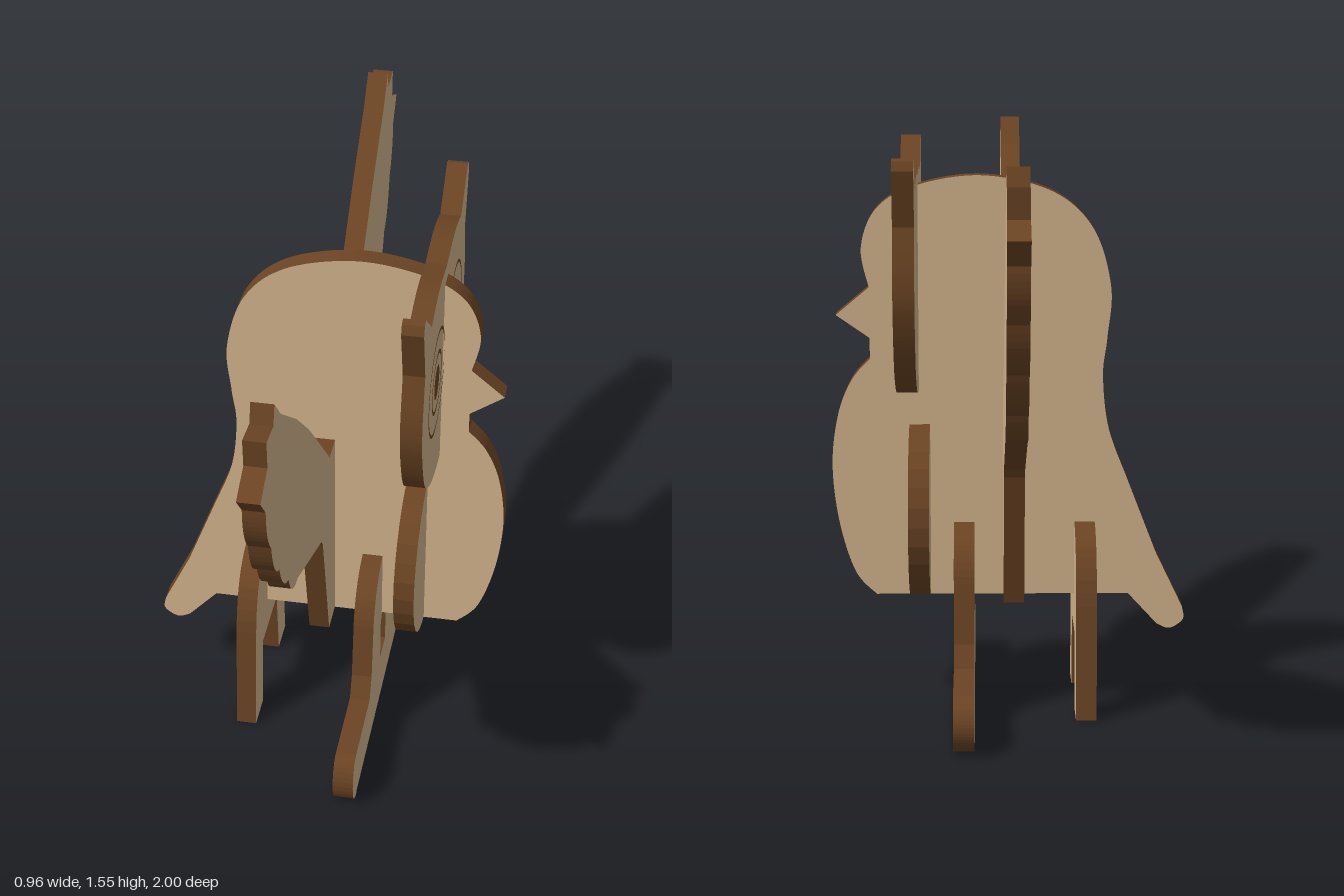
import * as THREE from 'three';

const faceWood = new THREE.MeshStandardMaterial({ color: 0xd2b48c });
faceWood.name = 'tan wood face';
const edgeWood = new THREE.MeshStandardMaterial({ color: 0x6b4423 });
edgeWood.name = 'dark brown edge';

const T = 0.056; // plate thickness
const V = (list) => list.map(([x, y]) => new THREE.Vector2(x, y));

// flat plate with tan faces and brown cut edges
function plate(name, shape) {
  const geo = new THREE.ExtrudeGeometry(shape, { depth: T, bevelEnabled: false, curveSegments: 14 });
  const mesh = new THREE.Mesh(geo, [faceWood, edgeWood]);
  mesh.name = name;
  return mesh;
}

// plate standing across the body, its back face at x
function crossPlate(name, shape, x) {
  const mesh = plate(name, shape);
  mesh.geometry.rotateY(Math.PI / 2);
  mesh.position.x = x;
  return mesh;
}

// closed shape from a half outline that starts and ends on the centre line
function mirrored(half) {
  const pts = half.getPoints(10);
  const other = pts.slice(1, -1).reverse().map((p) => new THREE.Vector2(-p.x, p.y));
  return new THREE.Shape([...pts, ...other]);
}

function bodyShape() {
  const s = new THREE.Shape();
  s.moveTo(-0.33, 0.305);
  s.lineTo(0.363, 0.305);
  s.splineThru(V([[0.42, 0.37], [0.463, 0.51], [0.48, 0.67], [0.463, 0.81], [0.425, 0.905], [0.375, 0.963]])); // chest
  s.lineTo(0.375, 1.02);
  s.lineTo(0.466, 1.083); // beak
  s.lineTo(0.376, 1.158);
  s.splineThru(V([[0.396, 1.265], [0.355, 1.37], [0.25, 1.432], [0.07, 1.459], [-0.117, 1.417], [-0.228, 1.318],
    [-0.277, 1.16], [-0.268, 1.02], [-0.257, 0.916], [-0.273, 0.772], [-0.322, 0.637]])); // crown and back
  s.lineTo(-0.405, 0.423);
  s.lineTo(-0.48, 0.267);
  s.splineThru(V([[-0.483, 0.23], [-0.446, 0.205], [-0.41, 0.218]])); // tail tip
  s.closePath();
  return s;
}

function wingShape() {
  const p = new THREE.Path();
  p.moveTo(0, 0.305);
  p.lineTo(0.12, 0.305);
  p.lineTo(0.215, 0.675);
  p.lineTo(0.235, 0.70);
  p.lineTo(0.57, 0.845);
  // scalloped feathers
  p.quadraticCurveTo(0.655, 0.845, 0.69, 0.935);
  p.quadraticCurveTo(0.765, 0.96, 0.80, 1.055);
  p.quadraticCurveTo(0.865, 1.08, 0.89, 1.19);
  p.quadraticCurveTo(0.945, 1.25, 0.943, 1.335);
  // pointed tips
  for (const [x, y] of [[1, 1.40], [0.914, 1.44], [0.92, 1.515], [0.84, 1.505], [0.824, 1.555]]) p.lineTo(x, y);
  p.lineTo(0.754, 1.48);
  p.lineTo(0.567, 1.335);
  p.lineTo(0.40, 1.185);
  p.lineTo(0.11, 0.89);
  p.lineTo(0, 0.89);
  return mirrored(p);
}

function headShape() {
  const p = new THREE.Path();
  p.moveTo(0, 0.875);
  p.splineThru(V([[0.11, 0.885], [0.22, 0.917], [0.326, 0.992], [0.388, 1.12], [0.40, 1.227], [0.374, 1.36]]));
  p.lineTo(0.417, 1.505); // ear
  p.lineTo(0.408, 1.53);
  p.lineTo(0.388, 1.535);
  p.lineTo(0.273, 1.442);
  p.splineThru(V([[0.2, 1.462], [0.11, 1.468], [0, 1.457]]));
  return mirrored(p);
}

function bellyShape() {
  const s = new THREE.Shape();
  s.absellipse(0, 0.545, 0.253, 0.24, 0, Math.PI * 2);
  return s;
}

function frontLegShape() {
  const s = new THREE.Shape();
  s.moveTo(-0.45, 0.005);
  s.lineTo(0.455, 0);
  s.absarc(0.455, 0.075, 0.075, -Math.PI / 2, Math.PI / 2); // rounded perch end
  s.lineTo(0.23, 0.15);
  s.lineTo(0.2, 0.21);
  s.lineTo(0.18, 0.35);
  s.bezierCurveTo(0.17, 0.45, 0.1, 0.51, 0, 0.51);
  s.bezierCurveTo(-0.1, 0.51, -0.17, 0.45, -0.18, 0.35);
  s.lineTo(-0.2, 0.21);
  s.lineTo(-0.23, 0.15);
  s.lineTo(-0.455, 0.15);
  s.bezierCurveTo(-0.53, 0.15, -0.53, 0, -0.45, 0);
  // gap between the legs
  const gap = new THREE.Path();
  gap.moveTo(-0.045, 0.15);
  gap.lineTo(-0.045, 0.26);
  gap.absarc(0, 0.26, 0.045, Math.PI, 0, true);
  gap.lineTo(0.045, 0.15);
  gap.closePath();
  s.holes.push(gap);
  return s;
}

function backLegShape() {
  const p = new THREE.Path();
  p.moveTo(0, 0.21);
  p.lineTo(0.1, 0.21);
  p.lineTo(0.12, 0);
  p.lineTo(0.22, 0);
  p.lineTo(0.19, 0.31);
  p.bezierCurveTo(0.175, 0.44, 0.11, 0.51, 0, 0.51);
  return mirrored(p);
}

// pupil and two engraved rings
function eye(side) {
  const g = new THREE.Group();
  g.name = side > 0 ? 'leftEye' : 'rightEye';
  const add = (name, geo) => {
    const m = new THREE.Mesh(geo, edgeWood);
    m.name = name;
    g.add(m);
  };
  add('pupil', new THREE.CircleGeometry(0.046, 32));
  add('innerRing', new THREE.RingGeometry(0.077, 0.087, 48));
  add('outerRing', new THREE.RingGeometry(0.137, 0.146, 48));
  g.rotation.y = Math.PI / 2;
  g.position.set(0.243 + T + 0.003, 1.205, side * 0.165);
  return g;
}

export function createModel() {
  const owl = new THREE.Group();
  owl.name = 'plywoodOwl';
  const body = plate('body', bodyShape());
  body.position.z = -T / 2;
  owl.add(
    body,
    crossPlate('wings', wingShape(), -0.042),
    crossPlate('head', headShape(), 0.243),
    crossPlate('belly', bellyShape(), 0.213),
    crossPlate('frontLegsAndPerch', frontLegShape(), 0.093),
    crossPlate('backLegs', backLegShape(), -0.237),
    eye(1),
    eye(-1),
  );
  return owl;
}
